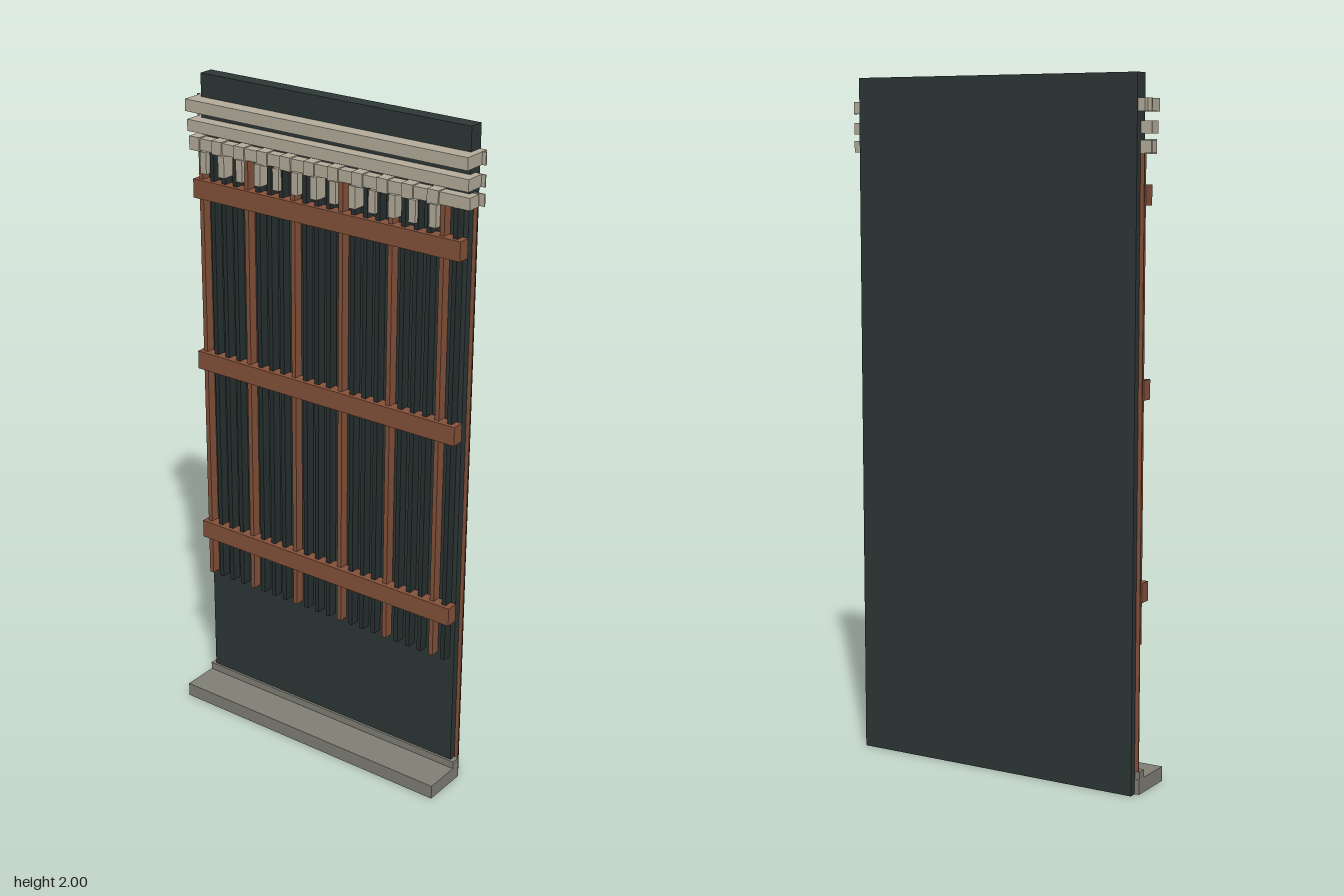
import * as THREE from 'three';

export function createModel() {
  const model = new THREE.Group();
  model.name = 'ribbedWallPanel';
  const mat = (name, color) => {
    const m = new THREE.MeshStandardMaterial({ color });
    m.name = name;
    return m;
  };
  const slate = mat('dark slate', 0x2e3837);
  const ribDark = mat('dark rib', 0x283130);
  const copper = mat('copper', 0x87523b);
  const stone = mat('pale stone', 0xb6af9d);
  const sillGrey = mat('sill grey', 0x828177);

  // Box given by its limits on each axis
  const box = (name, material, x0, x1, y0, y1, z0, z1) => {
    const mesh = new THREE.Mesh(new THREE.BoxGeometry(x1 - x0, y1 - y0, z1 - z0), material);
    mesh.position.set((x0 + x1) / 2, (y0 + y1) / 2, (z0 + z1) / 2);
    mesh.name = name;
    model.add(mesh);
  };

  // Backing wall and parapet
  box('wall', slate, -0.453, 0.453, 0, 1.88, -0.083, -0.037);
  box('parapet', slate, -0.453, 0.453, 1.88, 2, -0.083, -0.037);

  // Sill with a low step against the wall
  box('sill', sillGrey, -0.467, 0.467, 0, 0.043, -0.06, 0.083);
  box('sillStep', sillGrey, -0.467, 0.467, 0.043, 0.066, -0.058, -0.03);

  // Vertical ribs, every fourth one copper
  for (let i = 0; i < 22; i++) {
    const x = -0.436 + i * 0.0413;
    const isCopper = i % 4 === 0;
    box(isCopper ? 'copperRib' : 'darkRib', isCopper ? copper : ribDark,
      x - 0.007, x + 0.007, 0.42, 1.785, -0.038, -0.008);
  }

  // Horizontal copper rails
  for (const y of [0.573, 1.141, 1.673]) {
    box('rail', copper, -0.456, 0.456, y - 0.028, y + 0.028, -0.033, 0.004);
  }

  // Stacked cornice bars: bottom, top, back, front
  const bars = [
    [1.897, 1.932, -0.08, 0.009],
    [1.838, 1.872, -0.06, 0.002],
    [1.786, 1.82, -0.05, -0.007],
  ];
  for (const [y0, y1, z0, z1] of bars) {
    box('corniceBar', stone, -0.474, 0.474, y0, y1, z0, z1);
  }

  // Thin returns at both sides: cornice ends and copper edge trims
  for (const s of [-1, 1]) {
    const side = (name, material, a, b, y0, y1) =>
      box(name, material, Math.min(s * a, s * b), Math.max(s * a, s * b), y0, y1, -0.062, -0.058);
    for (const [y0, y1] of bars) side('corniceReturn', stone, 0.45, 0.486, y0, y1);
    side('edgeTrim', copper, 0.45, 0.465, 0.066, 1.786);
  }

  // Dentils on the lowest cornice bar
  for (let i = 0; i < 11; i++) {
    const x = -0.454 + i * 0.0815;
    box('dentil', stone, x - 0.018, x + 0.018, 1.783, 1.823, -0.04, -0.002);
  }

  // Small brackets hanging below the cornice
  for (let i = 0; i < 13; i++) {
    const x = -0.417 + i * 0.0653;
    box('bracket', stone, x - 0.011, x + 0.011, 1.722, 1.786, -0.037, 0.004);
  }

  return model;
}
